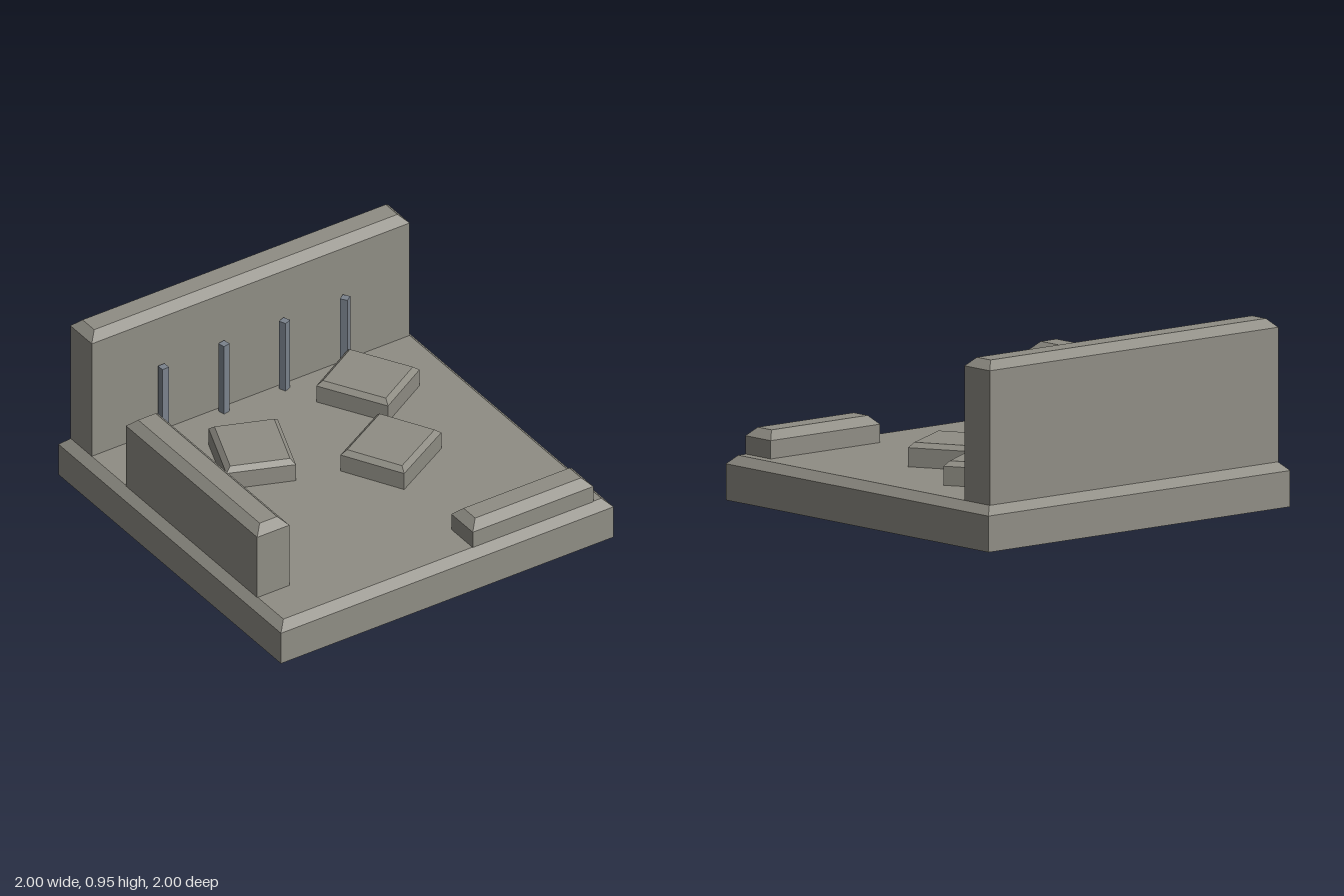
import * as THREE from 'three';

const stone = new THREE.MeshStandardMaterial({ color: 0x8f8d84, flatShading: true });
const metal = new THREE.MeshStandardMaterial({ color: 0x7a828c, flatShading: true });
const FLOOR = 0.228;

// Box standing on y = 0 whose top edges are chamfered by c
function chamferedBox(w, h, d, c) {
  const box = new THREE.BoxGeometry(w, h, d, 1, 2, 1);
  const p = box.attributes.position;
  for (let i = 0; i < p.count; i++) {
    const x = p.getX(i), y = p.getY(i), z = p.getZ(i);
    if (y > h / 4) p.setXYZ(i, x - Math.sign(x) * c, h, z - Math.sign(z) * c);
    else p.setY(i, y < -h / 4 ? 0 : h - c);
  }
  const geometry = box.toNonIndexed();
  geometry.computeVertexNormals();
  return geometry;
}

export function createModel() {
  const model = new THREE.Group();
  model.name = 'ruinedRoom';

  function add(name, geometry, material, x, y, z, turn = 0) {
    const mesh = new THREE.Mesh(geometry, material);
    mesh.name = name;
    mesh.position.set(x, y, z);
    mesh.rotation.y = turn;
    model.add(mesh);
  }

  // Floor plinth
  add('base', chamferedBox(2, FLOOR, 2, 0.044), stone, 0, 0, 0);

  // Walls of different remaining heights: name, width, height, depth, x, z
  const walls = [
    ['backWall', 1.912, 0.727, 0.193, 0, -0.863],
    ['rightWall', 0.193, 0.41, 1.18, -0.863, 0.136],
    ['frontWall', 0.725, 0.137, 0.193, 0.543, 0.863],
  ];
  for (const [name, w, h, d, x, z] of walls) {
    add(name, chamferedBox(w, h, d, 0.044), stone, x, FLOOR, z);
  }

  // Fallen slabs: width, depth, x, z, turn in degrees
  const slabs = [
    [0.356, 0.406, -0.32, -0.275, -21],
    [0.356, 0.4, 0.497, -0.456, 30],
    [0.406, 0.358, 0.27, 0.09, 29],
  ];
  slabs.forEach(([w, d, x, z, turn], i) => {
    add(`slab${i + 1}`, chamferedBox(w, 0.122, d, 0.025), stone,
      x, FLOOR, z, THREE.MathUtils.degToRad(turn));
  });

  // Row of bars, each turned a little further than the last
  const barHeight = 0.41;
  for (let i = 0; i < 4; i++) {
    add(`bar${i + 1}`, new THREE.BoxGeometry(0.04, barHeight, 0.04), metal,
      -0.549 + i * 0.364, FLOOR + barHeight / 2, -0.73, i * 0.2);
  }

  return model;
}
